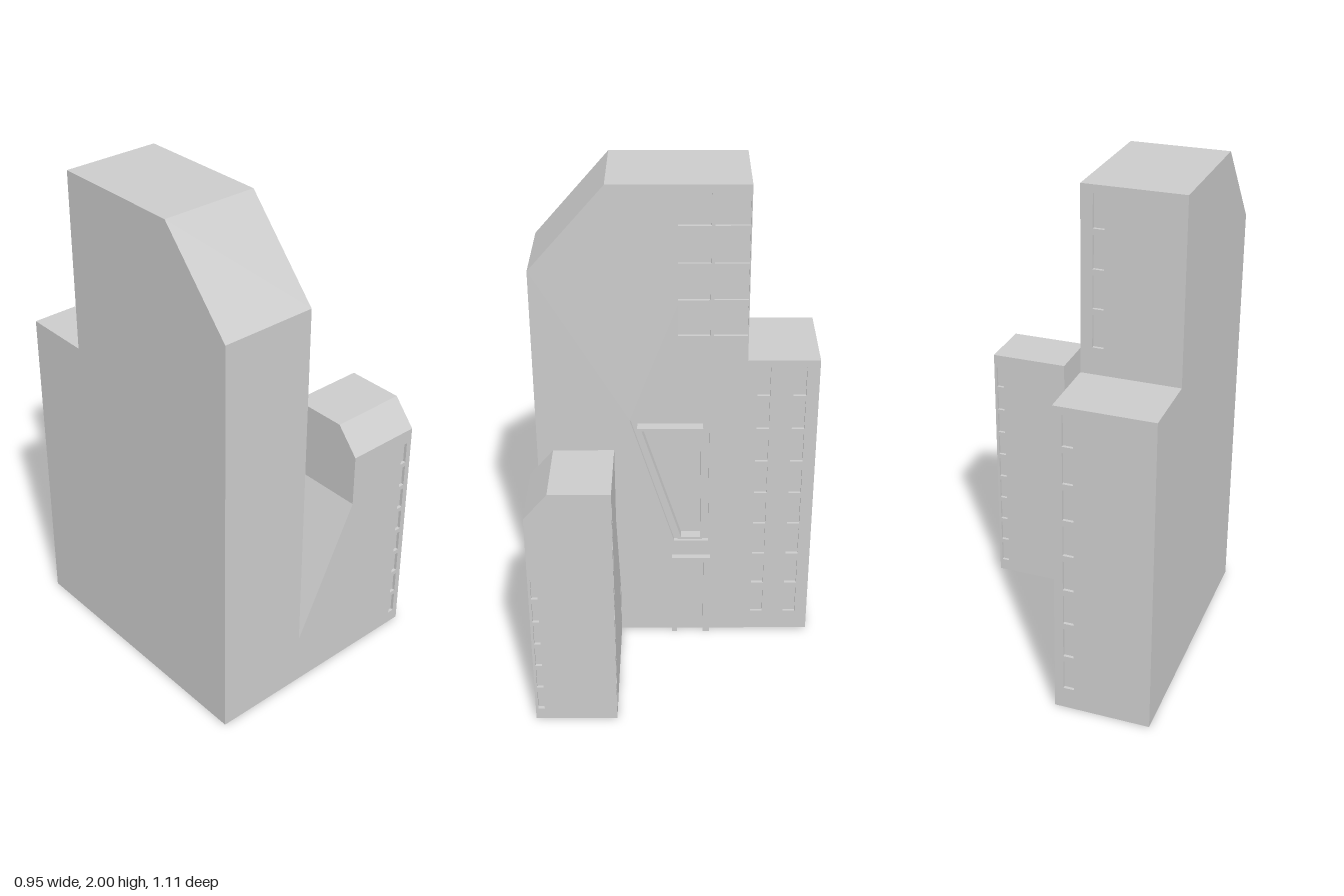
import * as THREE from 'three';
import { mergeGeometries } from 'three/addons/utils/BufferGeometryUtils.js';

const material = new THREE.MeshStandardMaterial({ color: 0xcccccc, side: THREE.DoubleSide, flatShading: true });

// Facing directions for walls: rotation about y
const FRONT = 0, LEFT = Math.PI / 2, BACK = Math.PI, RIGHT = -Math.PI / 2;

const shapeOf = pts => new THREE.Shape(pts.map(p => new THREE.Vector2(...p)));

// Flat quads between a path and the same path shifted by d
function skinGeometry(path, d) {
  const pos = [];
  for (let i = 0; i + 1 < path.length; i++) {
    const p = path[i], q = path[i + 1];
    const ps = p.map((v, k) => v + d[k]), qs = q.map((v, k) => v + d[k]);
    pos.push(...p, ...q, ...qs, ...p, ...qs, ...ps);
  }
  const g = new THREE.BufferGeometry();
  g.setAttribute('position', new THREE.Float32BufferAttribute(pos, 3));
  g.computeVertexNormals();
  return g;
}

// Plain flat sheet at local depth z
function sheetGeometry(shape, z = 0) {
  const g = new THREE.ShapeGeometry(shape).toNonIndexed();
  g.deleteAttribute('uv');
  return g.translate(0, 0, z);
}

// Column of window rectangles, counter-clockwise
function column(u0, u1, y0, height, pitch, count) {
  return Array.from({ length: count }, (_, i) => {
    const y = y0 + pitch * i;
    return [[u0, y], [u1, y], [u1, y + height], [u0, y + height]];
  });
}

export function createModel() {
  const model = new THREE.Group();
  const add = (name, geometry, parent = model) => {
    const mesh = new THREE.Mesh(geometry, material);
    mesh.name = name;
    parent.add(mesh);
    return mesh;
  };

  // Wall with recessed windows; offset is the distance along its facing axis
  function wall(name, facing, offset, outline, pockets = [], depth = 0.012) {
    const shape = shapeOf(outline);
    const parts = [];
    for (const hole of pockets) {
      const d = hole.depth ?? depth;
      shape.holes.push(new THREE.Path(hole.map(p => new THREE.Vector2(...p))));
      parts.push(sheetGeometry(shapeOf(hole), -d));
      parts.push(skinGeometry([...hole, hole[0]].map(([u, y]) => [u, y, 0]), [0, 0, -d]));
    }
    parts.unshift(sheetGeometry(shape));
    const g = mergeGeometries(parts);
    g.translate(0, 0, offset).rotateY(facing);
    return add(name, g);
  }

  // Solid frame standing on the left face of the tower
  function frame(name, outline, x0, depth, hole) {
    const shape = shapeOf(outline);
    if (hole) shape.holes.push(new THREE.Path(hole.map(p => new THREE.Vector2(...p))));
    const g = new THREE.ExtrudeGeometry(shape, { depth, bevelEnabled: false });
    g.translate(0, 0, x0).rotateY(LEFT);
    return add(name, g);
  }

  // Tower, open underneath
  const tx0 = -0.475, tx1 = -0.095, zb = 0.555, step = 0.275;
  const width = tx1 - tx0;
  const profile = [[-zb, 0], [zb, 0], [zb, 1.295], [step, 1.295], [step, 2], [-0.26, 2], [-zb, 1.665]];

  const trapezoid = [[-0.01, 0.455], [0.13, 0.455], [0.13, 1.03], [-0.185, 1.03]];
  trapezoid.depth = 0.02;
  wall('towerLeftWall', LEFT, tx1, profile, [
    ...column(0.315, 0.365, 0.09, 0.125, 0.15, 8),
    ...column(0.455, 0.505, 0.09, 0.125, 0.15, 8),
    ...column(0.005, 0.128, 1.4, 0.125, 0.148, 4),
    ...column(0.142, 0.271, 1.4, 0.125, 0.148, 4),
    trapezoid,
  ]);
  wall('towerRightWall', RIGHT, -tx0, profile.map(([u, y]) => [-u, y]).reverse());
  wall('towerBackWall', BACK, zb, [[-tx1, 0], [-tx0, 0], [-tx0, 1.295], [-tx1, 1.295]],
    column(0.13, 0.172, 0.09, 0.125, 0.15, 8));
  wall('towerUpperBackWall', BACK, step, [[-tx1, 1.295], [-tx0, 1.295], [-tx0, 2], [-tx1, 2]],
    column(0.14, 0.182, 1.4, 0.125, 0.148, 4));
  add('towerFrontAndRoof', skinGeometry(
    [[tx1, 0, zb], [tx1, 1.665, zb], [tx1, 2, 0.26], [tx1, 2, -step]], [-width, 0, 0]));
  add('towerStepRoof', skinGeometry([[tx1, 1.295, -step], [tx1, 1.295, -zb]], [-width, 0, 0]));

  // Tapered window frame set in its recess
  frame('taperedWindowFrame',
    [[0.005, 0.48], [0.105, 0.48], [0.105, 1.005], [-0.155, 1.005]], tx1 - 0.02, 0.045,
    [[0.018, 0.49], [0.097, 0.49], [0.097, 0.995], [-0.138, 0.995]]);

  // Door surround
  frame('doorFrame', [[-0.02, 0], [0.002, 0], [0.002, 0.37], [0.112, 0.37],
    [0.112, 0], [0.14, 0], [0.14, 0.385], [-0.02, 0.385]], tx1, 0.025);

  // Low wing, open underneath
  const wx = 0.475, inner = 0.165, wz = 0.235, top = 1.05;
  const row = [0.05, 0.088, 0.107];
  wall('wingLeftWall', LEFT, wx,
    [[-zb, 0], [-wz, 0], [-wz, top], [-0.465, top], [-zb, 0.945]],
    column(-0.545, -0.52, ...row, 6));
  wall('wingFrontWall', FRONT, zb,
    [[tx1, 0], [wx, 0], [wx, 0.945], [inner, 0.945], [inner, 0.735], [tx1, 0.21]],
    column(0.425, 0.452, ...row, 8));
  wall('wingBackWall', BACK, -wz,
    [[-wx, 0], [-tx1, 0], [-tx1, 0.21], [-inner, 0.735], [-inner, top], [-wx, top]],
    [...column(-0.465, -0.435, ...row, 9), ...column(0.045, 0.07, ...row, 2)]);
  wall('wingInnerWall', RIGHT, -inner,
    [[wz, 0.735], [zb, 0.735], [zb, 0.945], [0.465, top], [wz, top]]);
  add('wingRoof', skinGeometry(
    [[wx, 0.945, zb], [wx, top, 0.465], [wx, top, wz]], [inner - wx, 0, 0]));
  add('wingRamp', skinGeometry([[tx1, 0.21, zb], [inner, 0.735, zb]], [0, 0, wz - zb]));

  return model;
}
